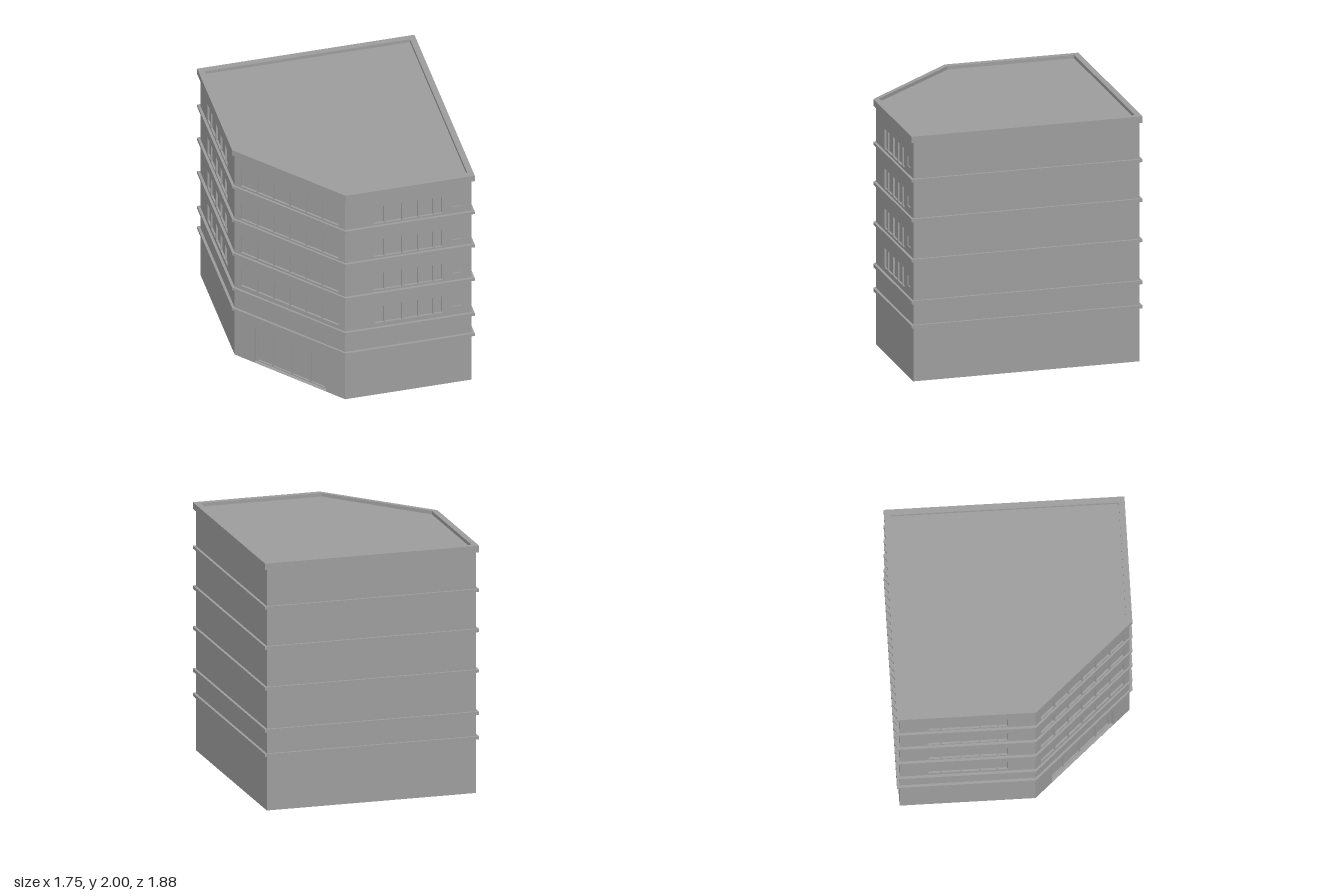
import * as THREE from 'three';

const mat = new THREE.MeshStandardMaterial({ color: 0x9e9e9e, flatShading: true, side: THREE.DoubleSide });

// Footprint corners [x, z], moved outward by o; each side runs left to right seen from outside
const ring = (o) => [
  [-0.166, 0.919 + o], [0.85 + o, 0.919 + o], [0.85 + o, -0.916 - o],
  [-0.854 - o, -0.916 - o], [-0.854 - o, 0.144 + 0.2 * o],
];

function add(parent, name, geometry, x = 0, y = 0, z = 0) {
  const mesh = new THREE.Mesh(geometry, mat);
  mesh.name = name;
  mesh.position.set(x, y, z);
  parent.add(mesh);
}

// Sweep a profile of [offset, y] points around the footprint
function sweep(profile) {
  const pos = [], index = [];
  for (const [o, y] of profile) for (const [x, z] of ring(o)) pos.push(x, y, z);
  for (let k = 0; k < profile.length - 1; k++) {
    for (let i = 0; i < 5; i++) {
      const j = (i + 1) % 5, a = k * 5 + i, b = k * 5 + j;
      index.push(a, b, b + 5, a, b + 5, a + 5);
    }
  }
  const g = new THREE.BufferGeometry();
  g.setAttribute('position', new THREE.Float32BufferAttribute(pos, 3));
  g.setIndex(index);
  g.computeVertexNormals();
  return g;
}

// Flat sheet with rectangular holes; rectangles are { x, y, w, h }
function sheet(r, holes) {
  const corners = (q) => [[q.x, q.y], [q.x + q.w, q.y], [q.x + q.w, q.y + q.h], [q.x, q.y + q.h]]
    .map(([x, y]) => new THREE.Vector2(x, y));
  const shape = new THREE.Shape(corners(r));
  for (const q of holes) shape.holes.push(new THREE.Path(corners(q).reverse()));
  return new THREE.ShapeGeometry(shape);
}

// Box open to the front, seen from inside; optionally without its back
function recess(parent, name, r, depth, z = 0, back = true) {
  const g = new THREE.BoxGeometry(r.w, r.h, depth);
  const idx = Array.from(g.index.array);
  const kept = back ? [...idx.slice(0, 24), ...idx.slice(30)] : idx.slice(0, 24);
  // turn the faces inward
  for (let i = 0; i < kept.length; i += 3) [kept[i + 1], kept[i + 2]] = [kept[i + 2], kept[i + 1]];
  g.setIndex(kept);
  const n = g.attributes.normal;
  for (let i = 0; i < n.count; i++) n.setXYZ(i, -n.getX(i), -n.getY(i), -n.getZ(i));
  add(parent, name, g, r.x + r.w / 2, r.y + r.h / 2, z - depth / 2);
}

// Window strip: one recess divided by mullions at the given fractions of its width
function windowStrip(wall, r, mullions) {
  const d = 0.016;
  recess(wall, 'windowRecess', r, d);
  for (const m of mullions) {
    add(wall, 'mullion', new THREE.BoxGeometry(0.01, r.h, d - 0.002), r.x + m * r.w, r.y + r.h / 2, -(d - 0.002) / 2);
  }
}

// Entrance: deep opening with a plain back and a frame of four panels before it
function entrance(wall, r) {
  const frameDepth = 0.028, panelDepth = 0.012;
  recess(wall, 'entranceOpening', r, frameDepth + panelDepth);
  const panels = [];
  let x = r.x + 0.021;
  for (const w of [0.127, 0.166, 0.163, 0.13]) {
    panels.push({ x, y: 0.012, w, h: 0.326 });
    x += w + 0.013;
  }
  add(wall, 'entranceFrame', sheet(r, panels), 0, 0, -frameDepth);
  for (const p of panels) recess(wall, 'entrancePanelEdge', p, panelDepth, -frameDepth, false);
}

export function createModel() {
  const model = new THREE.Group();
  model.name = 'cornerBuilding';

  const bands = [[0.437, 0.461], [0.633, 0.66], [0.976, 0.999], [1.302, 1.328], [1.627, 1.65]];
  const storeys = [0, ...bands.map((b) => b[1])].map((y, i) => [y, i < 5 ? bands[i][0] : 1.947]);
  const sills = [0.696, 1.018, 1.344, 1.667];

  // Openings of each side: strip start, width and mullion fractions; small window; door
  const five = [0.155, 0.414, 0.652, 0.876];
  const sixth = [1, 2, 3, 4, 5].map((i) => i / 6);
  const sides = [
    { name: 'frontWall', strip: [0.234, 0.546, five], square: 0.861 },
    { name: 'leftSideWall' },
    { name: 'backWall' },
    { name: 'rightSideWall', strip: [0.225, 0.615, five] },
    { name: 'chamferedWall', strip: [0.06, 0.912, sixth], door: { x: 0.183, y: 0.002, w: 0.673, h: 0.343 } },
  ];

  // Walls, one sheet per storey, with their openings
  const corners = ring(0);
  sides.forEach((side, i) => {
    const [ax, az] = corners[i], [bx, bz] = corners[(i + 1) % 5];
    const length = Math.hypot(bx - ax, bz - az);
    const wall = new THREE.Group();
    wall.name = side.name;
    wall.position.set(ax, 0, az);
    wall.rotation.y = Math.atan2(az - bz, bx - ax);
    model.add(wall);

    storeys.forEach(([y0, y1], s) => {
      const holes = [];
      if (s === 0 && side.door) {
        holes.push(side.door);
        entrance(wall, side.door);
      }
      if (s >= 2 && side.strip) {
        const [x, w, mullions] = side.strip;
        const r = { x, y: sills[s - 2], w, h: 0.16 };
        holes.push(r);
        windowStrip(wall, r, mullions);
      }
      if (s >= 2 && side.square) {
        const r = { x: side.square, y: sills[s - 2] + 0.045, w: 0.08, h: 0.08 };
        holes.push(r);
        recess(wall, 'smallWindow', r, 0.008);
      }
      add(wall, 'storeyWall', sheet({ x: 0, y: y0, w: length, h: y1 - y0 }, holes));
    });
  });

  // Ledges between storeys
  for (const [a, b] of bands) add(model, 'ledge', sweep([[0, a], [0.021, a], [0.021, b], [0, b]]));

  // Parapet and sunken roof
  const roofY = 1.972;
  add(model, 'parapet', sweep([[0, 1.947], [0.021, 1.947], [0.021, 2], [-0.027, 2], [-0.027, roofY]]));
  const roof = new THREE.ShapeGeometry(new THREE.Shape(ring(-0.027).map(([x, z]) => new THREE.Vector2(x, -z))));
  roof.rotateX(-Math.PI / 2);
  add(model, 'roof', roof, 0, roofY, 0);

  return model;
}
